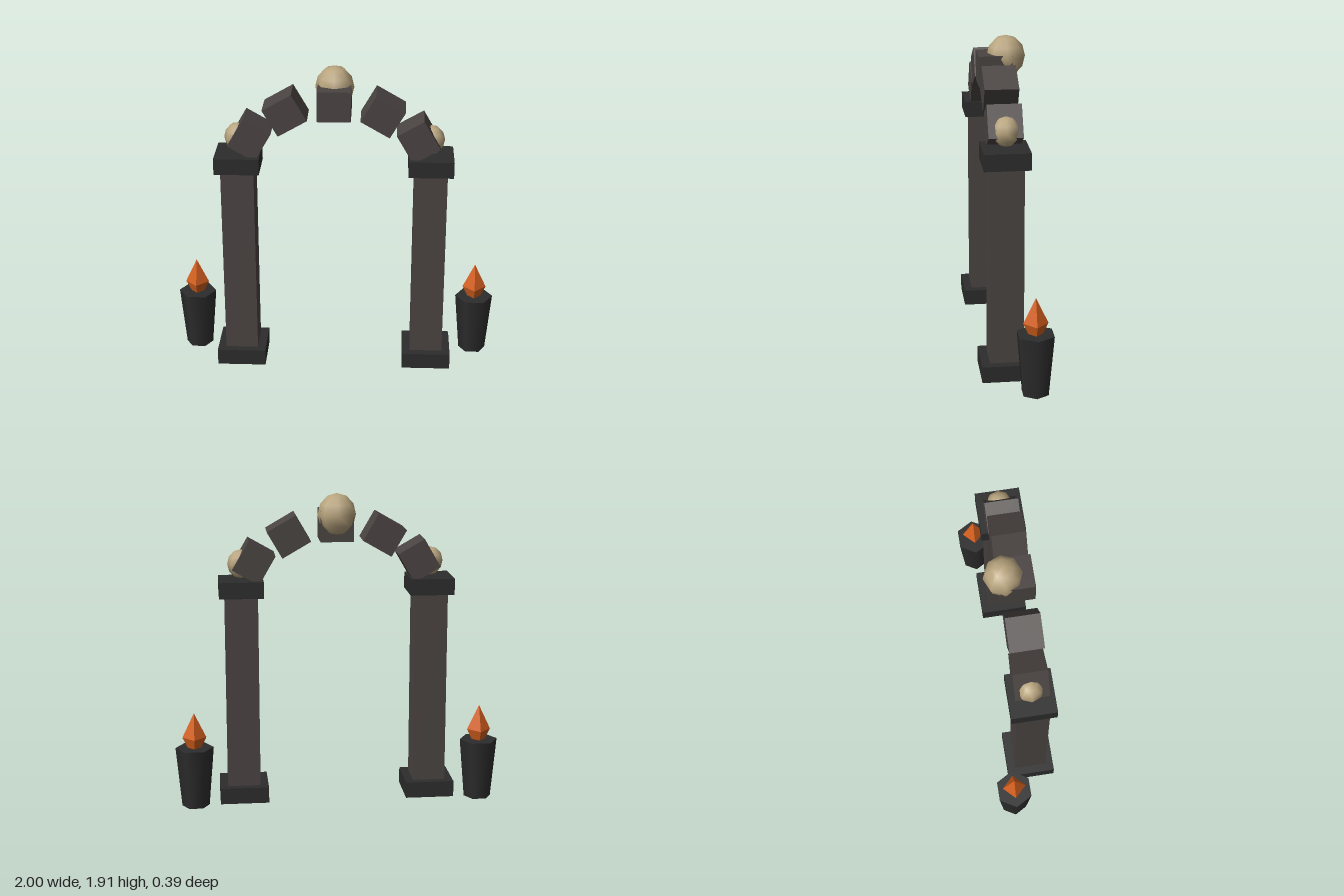
import * as THREE from 'three';

export function createModel() {
  const model = new THREE.Group();
  model.name = 'stoneArch';

  const material = (name, color) => {
    const m = new THREE.MeshStandardMaterial({ color });
    m.name = name;
    return m;
  };
  const stone = material('stone', 0x4a4442);
  const darkStone = material('darkStone', 0x2c2c2c);
  const bone = material('bone', 0xb8a47e);
  const flame = material('flame', 0xd4601f);

  const archZ = 0.045;
  const add = (name, geometry, mat, x, y, z) => {
    const mesh = new THREE.Mesh(geometry, mat);
    mesh.name = name;
    mesh.position.set(x, y, z);
    model.add(mesh);
    return mesh;
  };
  const box = (name, w, h, d, mat, x, y) =>
    add(name, new THREE.BoxGeometry(w, h, d), mat, x, y, archZ);

  // Slightly tall low-sided skull
  const skull = (name, r, x, y, z) => {
    const mesh = add(name, new THREE.SphereGeometry(r, 8, 6), bone, x, y, z);
    mesh.scale.y = 1.1;
  };

  for (const [side, s] of [['left', 1], ['right', -1]]) {
    // Pillar with base and cap
    box(side + 'Base', 0.3, 0.1, 0.3, darkStone, s * 0.58, 0.05);
    box(side + 'Pillar', 0.2, 1.2, 0.2, stone, s * 0.58, 0.695);
    box(side + 'Cap', 0.27, 0.1, 0.27, darkStone, s * 0.58, 1.342);

    skull(side + 'Skull', 0.08, s * 0.58, 1.485, 0.04);

    // Hexagonal brazier, corners pointing sideways
    const bowl = new THREE.CylinderGeometry(0.117, 0.084, 0.372, 6);
    bowl.rotateY(Math.PI / 2);
    add(side + 'Brazier', bowl, darkStone, s * 0.883, 0.186, -0.095);

    // Pointed flame sunk into the brazier
    const fire = add(side + 'Flame', new THREE.OctahedronGeometry(0.073), flame, s * 0.883, 0.437, -0.095);
    fire.scale.y = 2.1;
  }

  // Arch stones along a flattened curve
  for (let i = -2; i <= 2; i++) {
    const a = (i * Math.PI) / 6;
    const block = box('archStone' + (i + 3), 0.2, 0.185, 0.2, stone,
      0.58 * Math.sin(a), 1.285 + 0.43 * Math.cos(a));
    block.rotation.z = -a;
  }

  // Large skull behind the keystone
  skull('keystoneSkull', 0.116, 0, 1.787, -0.025);

  return model;
}
